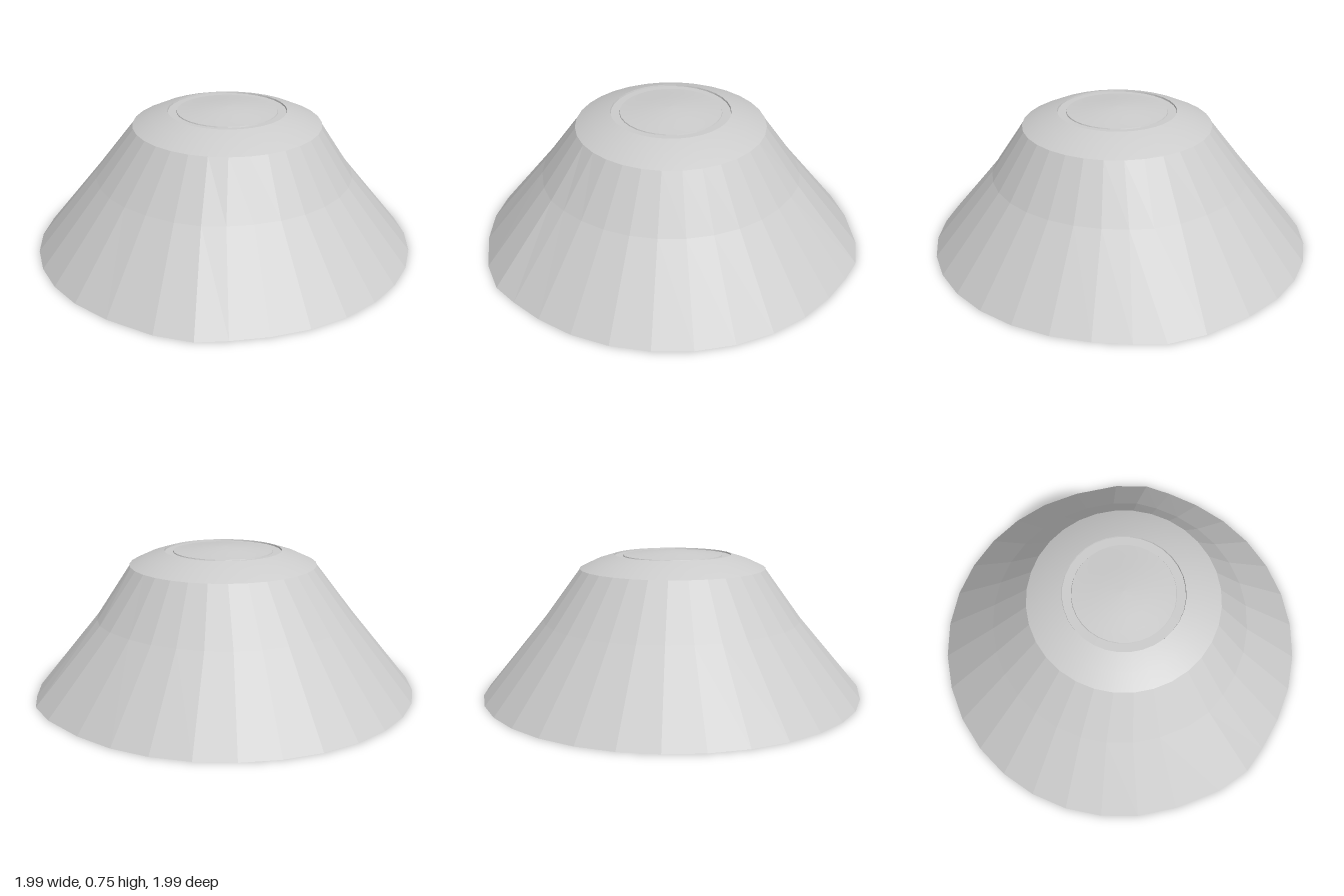
import * as THREE from 'three';

const SEGMENTS = 32;

// Revolve a [radius, height] profile, listed from the bottom upwards.
function revolve(name, profile, flatShading) {
  const points = profile.map(([r, y]) => new THREE.Vector2(r, y));
  const geometry = new THREE.LatheGeometry(points, SEGMENTS);
  const material = new THREE.MeshStandardMaterial({
    color: 0xcccccc, flatShading, side: THREE.DoubleSide,
  });
  const mesh = new THREE.Mesh(geometry, material);
  mesh.name = name;
  return mesh;
}

export function createModel() {
  const model = new THREE.Group();
  model.name = 'lampshade';

  // Faceted flaring skirt, open at the bottom
  const skirt = revolve('skirt', [[0.995, 0], [0.675, 0.39], [0.485, 0.655]], true);

  // Slightly uneven rim: pull a few facets sideways, and lean the top to +x
  const pos = skirt.geometry.attributes.position;
  for (let i = 0; i < pos.count; i++) {
    const x = pos.getX(i), y = pos.getY(i);
    const r = Math.hypot(x, pos.getZ(i));
    const bulge = 0.085 * Math.exp(-(((x / r - 0.28) / 0.22) ** 2)) * (1 - y / 0.655);
    const lean = y > 0.5 ? 0.02 : 0;
    pos.setX(i, x + bulge + lean);
  }
  model.add(skirt);

  // Rounded crown, recessed groove and shallow domed lid
  const top = new THREE.Group();
  top.name = 'top';
  top.position.x = 0.02;
  top.add(
    revolve('crown', [[0.49, 0.655], [0.4, 0.697], [0.308, 0.725]], false),
    revolve('groove', [[0.308, 0.725], [0.306, 0.717], [0.262, 0.717], [0.26, 0.722]], true),
    revolve('dome', [[0.26, 0.722], [0.2, 0.728], [0.13, 0.737], [0.06, 0.743], [0, 0.745]], false),
  );
  model.add(top);

  return model;
}
